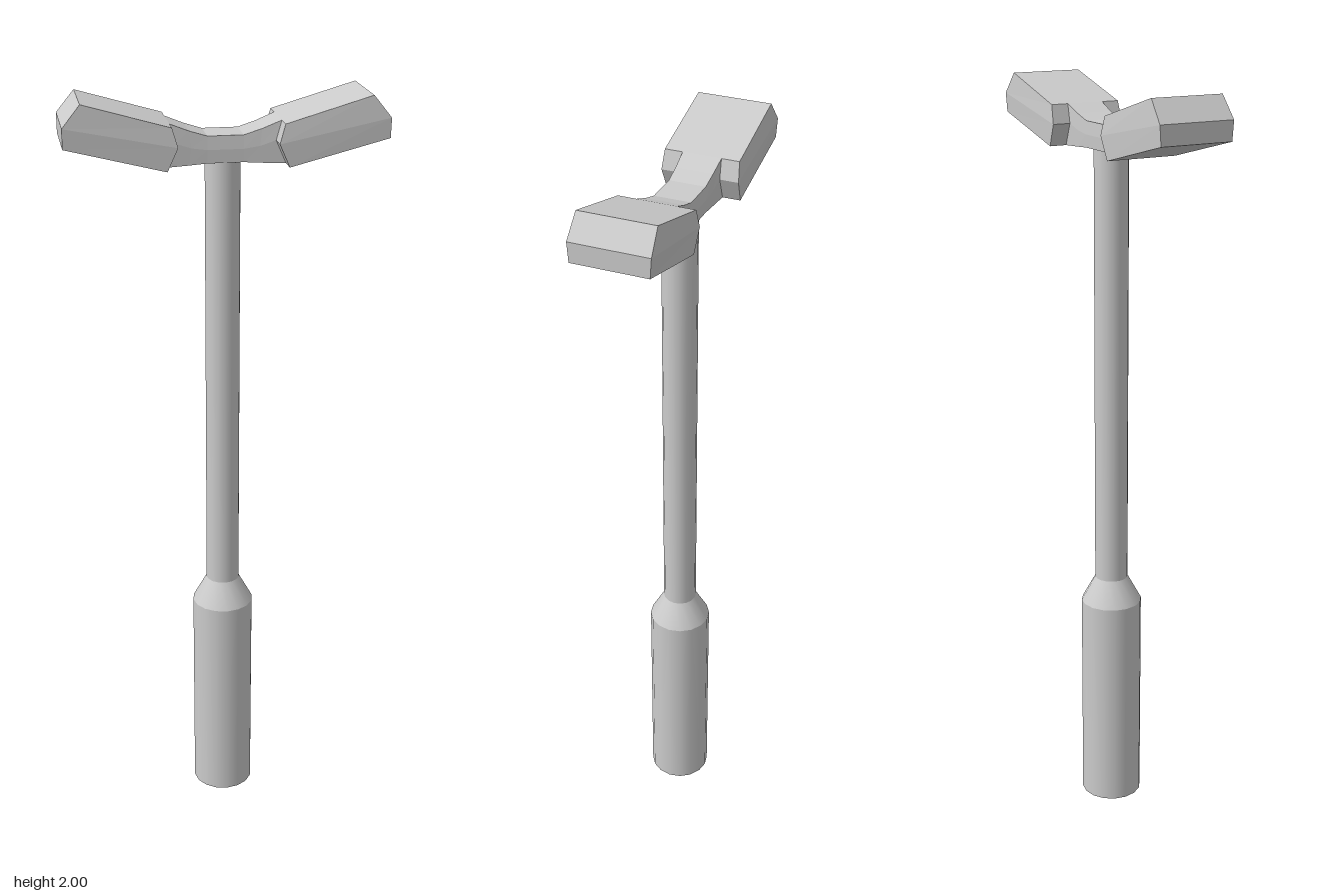
import * as THREE from 'three';

const steel = new THREE.MeshStandardMaterial({ color: 0xcccccc, side: THREE.DoubleSide });
const faceted = new THREE.MeshStandardMaterial({ color: 0xcccccc, flatShading: true });

// Round section turned about the vertical axis
function turned(name, profile) {
  const points = profile.map(([r, y]) => new THREE.Vector2(r, y));
  const mesh = new THREE.Mesh(new THREE.LatheGeometry(points, 16), steel);
  mesh.name = name;
  return mesh;
}

// Six-point section from bottom, middle and top [x, y] levels, slightly bulged in depth
function section(levels, half) {
  const depth = [half * 0.965, half, half * 0.965];
  const front = levels.map(([x, y], i) => [x, y, depth[i]]);
  const back = front.map(([x, y, z]) => [x, y, -z]).reverse();
  return [...front, ...back];
}

const mirror = (levels) => levels.map(([x, y]) => [-x, y]);

// Skin a row of sections running towards +x, with folded end caps
function loft(name, rings, capped) {
  const positions = [];
  const quad = (a, b, c, d) => positions.push(...a, ...b, ...c, ...a, ...c, ...d);
  for (let k = 0; k < rings.length - 1; k++) {
    const A = rings[k], B = rings[k + 1];
    for (let i = 0; i < 6; i++) {
      const j = (i + 1) % 6;
      quad(A[i], B[i], B[j], A[j]);
    }
  }
  if (capped) {
    const A = rings[0], B = rings[rings.length - 1];
    for (const [a, b, c, d] of [[0, 1, 4, 5], [1, 2, 3, 4]]) {
      quad(A[a], A[b], A[c], A[d]);
      quad(B[d], B[c], B[b], B[a]);
    }
  }
  const geometry = new THREE.BufferGeometry();
  geometry.setAttribute('position', new THREE.Float32BufferAttribute(positions, 3));
  geometry.computeVertexNormals();
  const mesh = new THREE.Mesh(geometry, faceted);
  mesh.name = name;
  return mesh;
}

export function createModel() {
  const model = new THREE.Group();
  model.name = 'longHammer';

  // Handle: thick grip, short taper, slim shaft
  model.add(
    turned('grip', [[0.083, 0], [0.083, 0.595]]),
    turned('gripTaper', [[0.083, 0.595], [0.045, 0.665]]),
    turned('shaft', [[0.045, 0.665], [0.045, 1.845]]),
  );

  // Upswept head: levels at the inner and outer ends of a striking block
  const inner = [[0.15, 1.832], [0.124, 1.89], [0.138, 1.938]];
  const outer = [[0.4, 1.895], [0.4, 1.945], [0.355, 2]];
  model.add(
    loft('leftBlock', [section(inner, 0.1), section(outer, 0.1)], true),
    loft('rightBlock', [section(mirror(outer), 0.1), section(mirror(inner), 0.1)], true),
  );

  // Narrow neck joining both blocks over the shaft
  const bend = [[0.09, 1.835], [0.085, 1.877], [0.09, 1.919]];
  const middle = [[0.045, 1.838], [0.045, 1.871], [0.045, 1.905]];
  model.add(loft('neck', [
    section(mirror(inner), 0.052), section(mirror(bend), 0.05), section(mirror(middle), 0.049),
    section(middle, 0.049), section(bend, 0.05), section(inner, 0.052),
  ], false));

  return model;
}
